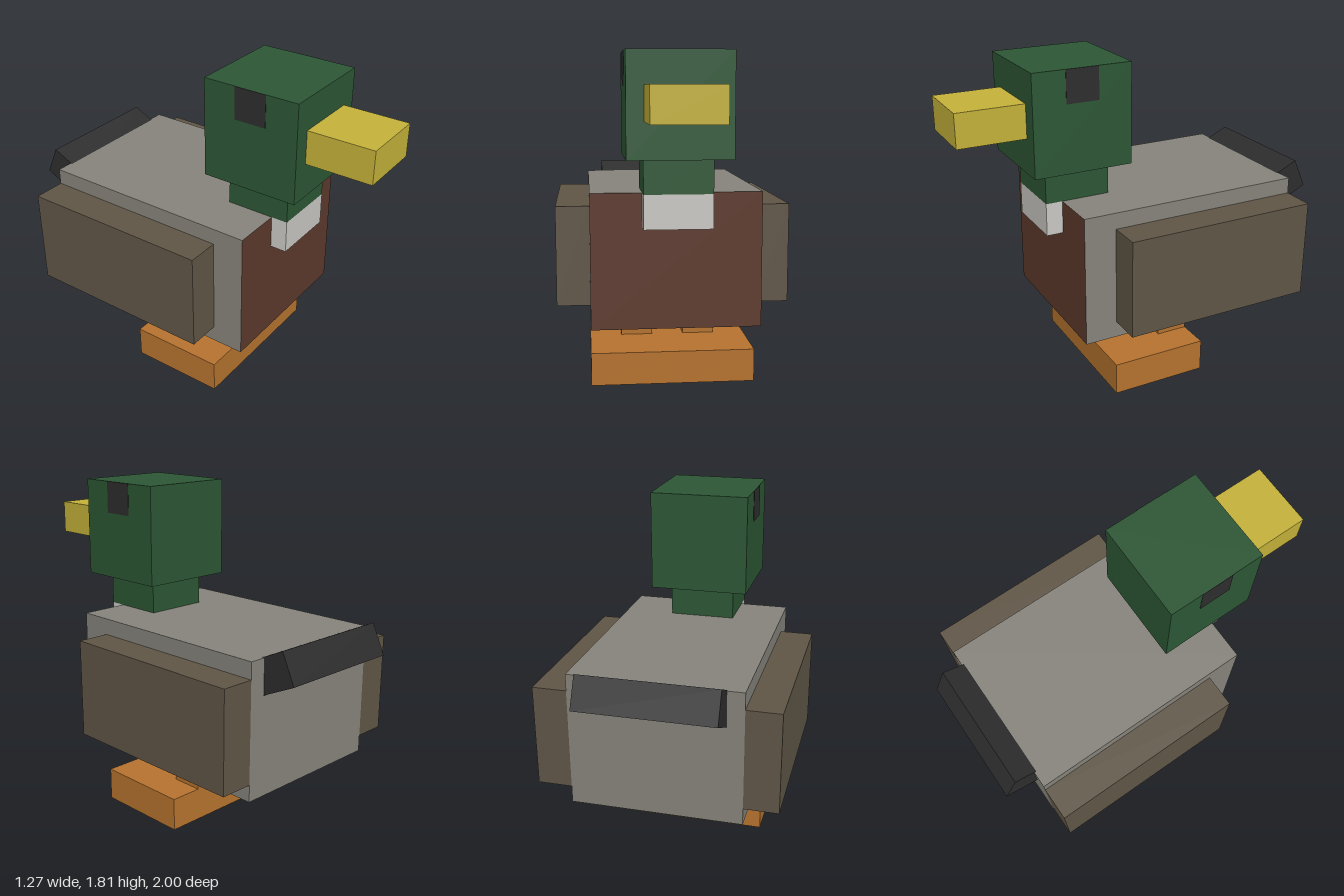
import * as THREE from 'three';

export function createModel() {
  const model = new THREE.Group();
  model.name = 'blockDuck';

  const paint = (name, color) => {
    const m = new THREE.MeshStandardMaterial({ color });
    m.name = name;
    return m;
  };
  const green = paint('headGreen', 0x2c5634);
  const yellow = paint('beakYellow', 0xc3b039);
  const white = paint('collarWhite', 0xc9c7c2);
  const maroon = paint('breastMaroon', 0x5d392c);
  const grey = paint('bodyGrey', 0x85827a);
  const brown = paint('wingBrown', 0x5f5546);
  const navy = paint('wingNavy', 0x3c4d94);
  const orange = paint('legOrange', 0xb4722e);
  const black = paint('tailBlack', 0x2d2d2d);

  // Box given by its extents on each axis
  const block = (name, material, [x0, x1], [y0, y1], [z0, z1]) => {
    const mesh = new THREE.Mesh(new THREE.BoxGeometry(x1 - x0, y1 - y0, z1 - z0), material);
    mesh.position.set((x0 + x1) / 2, (y0 + y1) / 2, (z0 + z1) / 2);
    mesh.name = name;
    model.add(mesh);
    return mesh;
  };

  // Head, beak, neck and white collar
  block('head', green, [-0.272, 0.272], [1.27, 1.814], [0.091, 0.635]);
  block('beak', yellow, [-0.181, 0.181], [1.46, 1.642], [0.635, 1]);
  block('neck', green, [-0.181, 0.181], [1.089, 1.27], [0.185, 0.545]);
  block('collar', white, [-0.181, 0.181], [0.908, 1.089], [0.185, 0.545]);

  // Body: the front face is the maroon breast
  block('body', [grey, grey, grey, grey, maroon, grey],
    [-0.453, 0.453], [0.364, 1.089], [-0.815, 0.453]);

  // Tail, tipped upwards
  const tail = new THREE.Mesh(new THREE.BoxGeometry(0.724, 0.178, 0.27), black);
  tail.name = 'tail';
  tail.position.set(0, 1.008, -0.84);
  tail.rotation.x = 0.436;
  model.add(tail);

  // Mirrored parts
  for (const [side, s] of [['left', 1], ['right', -1]]) {
    const span = (a, b) => (s > 0 ? [a, b] : [-b, -a]);
    // Wing with a navy underside
    block(side + 'Wing', [brown, brown, brown, navy, brown, brown],
      span(0.453, 0.635), [0.455, 0.999], [-0.815, 0.275]);
    block(side + 'Eye', black, span(0.27, 0.274), [1.638, 1.814], [0.275, 0.455]);
    block(side + 'Leg', orange, span(0.091, 0.272), [0.182, 0.364], [-0.27, -0.09]);
    block(side + 'Foot', orange, span(0, 0.453), [0, 0.182], [-0.27, 0.275]);
  }

  return model;
}
